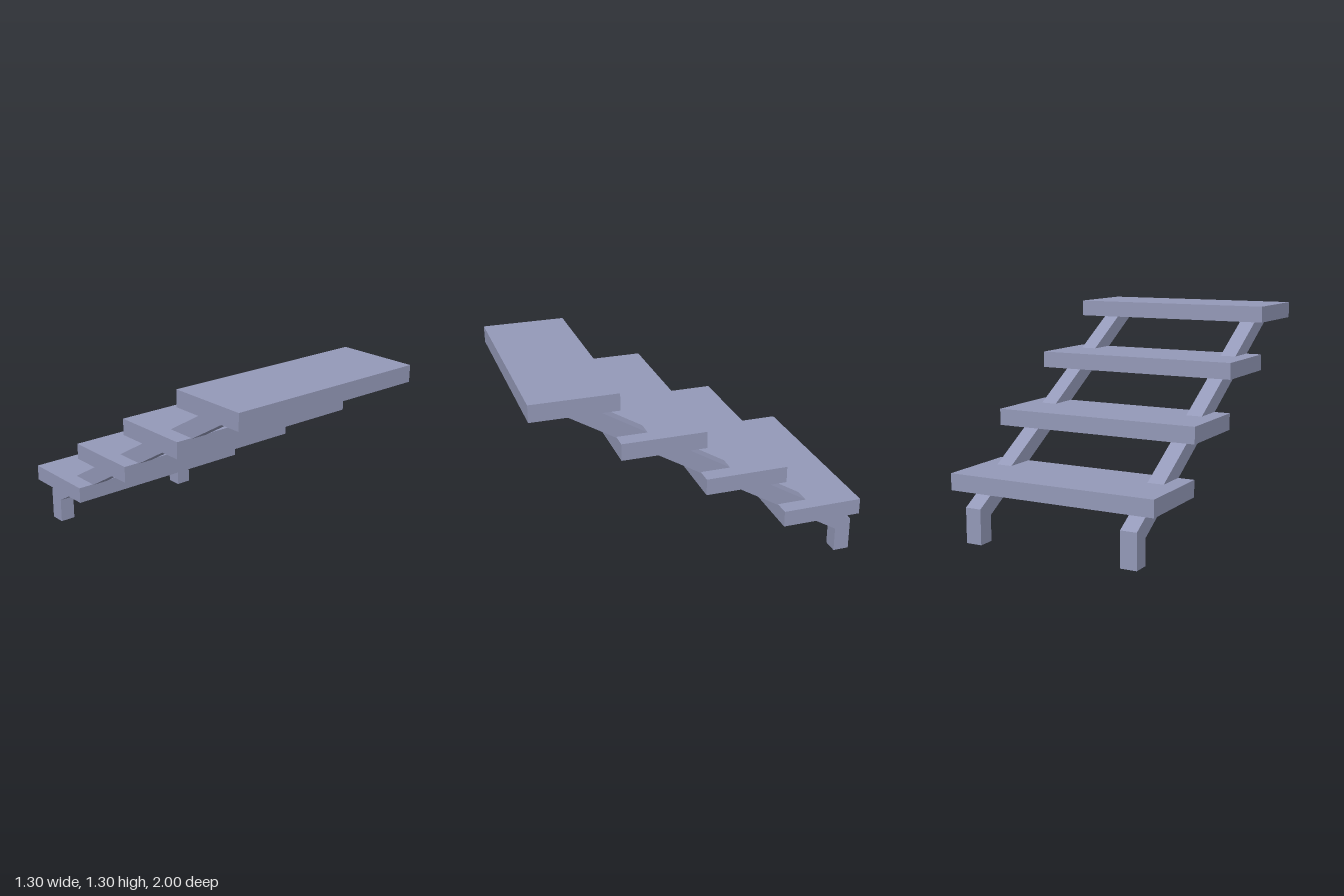
import * as THREE from 'three';

export function createModel() {
  const group = new THREE.Group();
  group.name = 'openStaircase';
  const slateBlue = new THREE.MeshStandardMaterial({ color: 0x9499b8 });
  slateBlue.name = 'slateBlue';

  // Four treads, rising from back to front
  const steps = 4, width = 1.3, thickness = 0.1, run = 0.5, rise = 0.3;
  const treadGeometry = new THREE.BoxGeometry(width, thickness, run);
  for (let i = 0; i < steps; i++) {
    const tread = new THREE.Mesh(treadGeometry, slateBlue);
    tread.name = `tread${i + 1}`;
    tread.position.set(0, 0.35 + i * rise, -0.75 + i * run);
    group.add(tread);
  }

  // Side profile (z, y) of a sloping stringer with a vertical foot
  const profile = new THREE.Shape([
    [-1, 0], [-0.9, 0], [-0.9, 0.155], [0.845, 1.202], [0.655, 1.202], [-1, 0.21],
  ].map(([z, y]) => new THREE.Vector2(z, y)));
  const stringerGeometry = new THREE.ExtrudeGeometry(profile, { depth: 0.1, bevelEnabled: false });
  stringerGeometry.translate(0, 0, -0.05);
  stringerGeometry.rotateY(-Math.PI / 2);

  for (const [name, x] of [['leftStringer', 0.5], ['rightStringer', -0.5]]) {
    const stringer = new THREE.Mesh(stringerGeometry, slateBlue);
    stringer.name = name;
    stringer.position.x = x;
    group.add(stringer);
  }

  return group;
}
